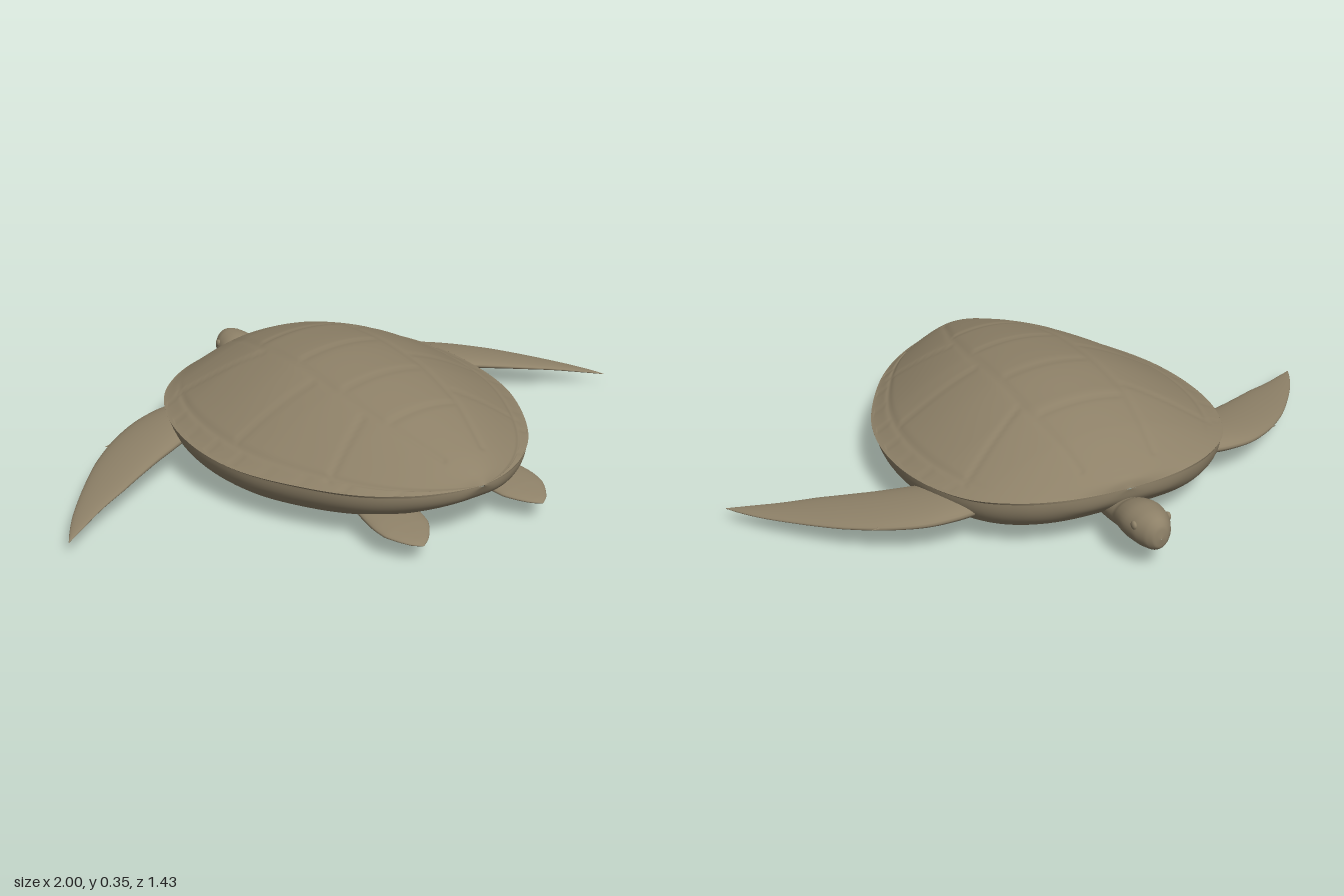
import * as THREE from 'three';
import { mergeVertices } from 'three/addons/utils/BufferGeometryUtils.js';

const olive = new THREE.MeshStandardMaterial({ color: 0x8e8168 });
olive.name = 'olive skin';

// Smooth surface from fn(u, v) => [x, y, z], with u and v in 0..1
function surface(fn, nu, nv, flip = false) {
  const pos = [], index = [];
  for (let i = 0; i <= nu; i++)
    for (let j = 0; j <= nv; j++) pos.push(...fn(i / nu, j / nv));
  for (let i = 0; i < nu; i++)
    for (let j = 0; j < nv; j++) {
      const a = i * (nv + 1) + j, b = a + nv + 1;
      if (flip) index.push(a, a + 1, b, a + 1, b + 1, b);
      else index.push(a, b, a + 1, a + 1, b, b + 1);
    }
  let g = new THREE.BufferGeometry();
  g.setAttribute('position', new THREE.Float32BufferAttribute(pos, 3));
  g.setIndex(index);
  g = mergeVertices(g, 1e-5);
  g.computeVertexNormals();
  return g;
}

const spline = (points) => new THREE.CatmullRomCurve3(points.map((p) => new THREE.Vector3(...p)));

// Elliptical loft; a section is [x, y, z, half width along axis, half height]
function loft(sections, axis, flip) {
  const centre = spline(sections.map((s) => s.slice(0, 3)));
  const size = spline(sections.map((s) => [s[3], s[4], 0]));
  return surface((u, v) => {
    const c = centre.getPoint(u), r = size.getPoint(u), t = v * Math.PI * 2;
    c[axis] += r.x * Math.cos(t);
    c.y += r.y * Math.sin(t);
    return c.toArray();
  }, 40, 28, flip);
}

// Shell stations from head to tail: z, half width, rim height, ridge height, belly height
const stations = [
  [-0.535, 0.003, 0.18, 0.181, 0.179], [-0.525, 0.11, 0.178, 0.205, 0.14],
  [-0.5, 0.22, 0.176, 0.222, 0.11], [-0.45, 0.325, 0.172, 0.25, 0.07],
  [-0.36, 0.425, 0.165, 0.29, 0.035], [-0.2, 0.5, 0.158, 0.334, 0.01],
  [0, 0.525, 0.152, 0.352, 0.001], [0.2, 0.495, 0.152, 0.341, 0.008],
  [0.4, 0.4, 0.158, 0.306, 0.032], [0.53, 0.305, 0.162, 0.268, 0.062],
  [0.62, 0.2, 0.168, 0.236, 0.1], [0.675, 0.095, 0.174, 0.206, 0.135],
  [0.7, 0.003, 0.178, 0.179, 0.177],
];
const rimCurve = spline(stations.map((s) => s.slice(0, 3)));
const heightCurve = spline(stations.map((s) => [s[3], s[4], 0]));

// Scute seams on one half of the back: x1, z1, x2, z2
const seams = [
  [0, -0.235, 0.13, -0.235], [0, -0.01, 0.13, -0.01], [0, 0.21, 0.13, 0.21], [0, 0.41, 0.12, 0.41],
  [0.12, -0.46, 0.16, -0.2], [0.16, -0.2, 0.16, 0.2], [0.16, 0.2, 0.13, 0.41], [0.13, 0.41, 0.07, 0.6],
  [0.17, -0.17, 0.41, -0.3], [0.18, 0.11, 0.44, 0.1], [0.16, 0.34, 0.34, 0.43],
];
const bump = (d, w) => Math.exp(-(d * d) / (w * w));

function seamDepth(x, z, s) {
  let d = 1;
  for (const [x1, z1, x2, z2] of seams) {
    const dx = x2 - x1, dz = z2 - z1;
    const t = THREE.MathUtils.clamp(((x - x1) * dx + (z - z1) * dz) / (dx * dx + dz * dz), 0, 1);
    d = Math.min(d, Math.hypot(x - x1 - t * dx, z - z1 - t * dz));
  }
  const fade = THREE.MathUtils.smoothstep(z, -0.4, -0.2);
  // seam between the scutes and the border, then short ticks across the border
  const border = fade * bump((s - 0.87) * 0.5, 0.01);
  const tick = s > 0.87 && s < 0.98 ? fade * bump(((z + 1) % 0.11) - 0.055, 0.008) : 0;
  return 0.004 * Math.max(bump(d, 0.01), border, tick * 0.7);
}

// Domed upper shell; its last strip on each side turns under as a lip
function carapacePoint(u, v) {
  const a = rimCurve.getPoint(u), h = heightCurve.getPoint(u);
  const k = (v * 2 - 1) * 1.03;
  if (Math.abs(k) > 1.001) return [Math.sign(k) * a.y * 0.96, a.z - Math.min(0.016, a.y * 0.1), a.x];
  const s = Math.sin((k * Math.PI) / 2), x = s * a.y;
  const dome = Math.pow(Math.max(0, 1 - s * s), 1.25);
  const fade = Math.min(1, a.y / 0.15);
  return [x, a.z + (h.x - a.z) * dome - fade * seamDepth(Math.abs(x), a.x, Math.abs(s)), a.x];
}

// Flat-bottomed belly tucked under the rim
function bellyPoint(u, v) {
  const a = rimCurve.getPoint(u), h = heightCurve.getPoint(u);
  const s = Math.sin(((v * 2 - 1) * Math.PI) / 2);
  const drop = Math.pow(Math.max(0, 1 - s ** 4), 0.45);
  return [s * a.y * 0.985, a.z - 0.002 - (a.z - h.y) * drop, a.x];
}

export function createModel() {
  const model = new THREE.Group();
  model.name = 'seaTurtle';
  const add = (name, geometry) => {
    const mesh = new THREE.Mesh(geometry, olive);
    mesh.name = name;
    model.add(mesh);
    return mesh;
  };

  add('carapace', surface(carapacePoint, 170, 136));
  add('belly', surface(bellyPoint, 80, 60, true));

  // Neck and head: z, centre height, half width, half height
  const head = [
    [-0.34, 0.085, 0.05, 0.035], [-0.45, 0.09, 0.052, 0.044], [-0.53, 0.1, 0.056, 0.044],
    [-0.56, 0.111, 0.062, 0.05], [-0.61, 0.117, 0.068, 0.058], [-0.66, 0.117, 0.06, 0.058],
    [-0.695, 0.115, 0.042, 0.05], [-0.711, 0.112, 0.024, 0.032], [-0.716, 0.11, 0.001, 0.001],
  ];
  add('head', loft(head.map(([z, y, w, h]) => [0, y, z, w, h]), 'x', false));

  // Front flipper: x, leading z, trailing z, height, half thickness
  const front = [
    [0.34, -0.35, -0.18, 0.115, 0.03], [0.45, -0.36, -0.15, 0.11, 0.03], [0.55, -0.34, -0.11, 0.1, 0.026],
    [0.65, -0.287, -0.065, 0.089, 0.021], [0.75, -0.208, -0.015, 0.077, 0.016],
    [0.85, -0.1, 0.03, 0.063, 0.011], [0.93, 0.0, 0.075, 0.051, 0.007],
    [0.975, 0.07, 0.1, 0.044, 0.004], [0.998, 0.112, 0.114, 0.04, 0.001],
  ];
  // Rear flipper: z, centre x, half width, height, half thickness
  const rear = [
    [0.4, 0.2, 0.06, 0.085, 0.02], [0.5, 0.205, 0.078, 0.077, 0.02], [0.57, 0.208, 0.083, 0.073, 0.018],
    [0.62, 0.21, 0.077, 0.069, 0.015], [0.66, 0.212, 0.055, 0.065, 0.011],
    [0.69, 0.214, 0.03, 0.061, 0.007], [0.71, 0.215, 0.001, 0.058, 0.001],
  ];

  for (const [label, side] of [['left', 1], ['right', -1]]) {
    add(label + 'FrontFlipper', loft(
      front.map(([x, z1, z2, y, h]) => [side * x, y, (z1 + z2) / 2, (z2 - z1) / 2, h]), 'z', side < 0));
    add(label + 'RearFlipper', loft(
      rear.map(([z, x, w, y, h]) => [side * x, y, z, w, h]), 'x', true));

    // Small claw on the leading edge
    const claw = add(label + 'Claw', new THREE.ConeGeometry(0.009, 0.04, 10));
    claw.position.set(side * 0.667, 0.088, -0.27);
    claw.rotation.z = -side * Math.PI / 2;

    const eye = add(label + 'Eye', new THREE.SphereGeometry(0.013, 16, 12));
    eye.scale.set(0.6, 1, 1);
    eye.position.set(side * 0.055, 0.138, -0.655);
  }
  return model;
}
